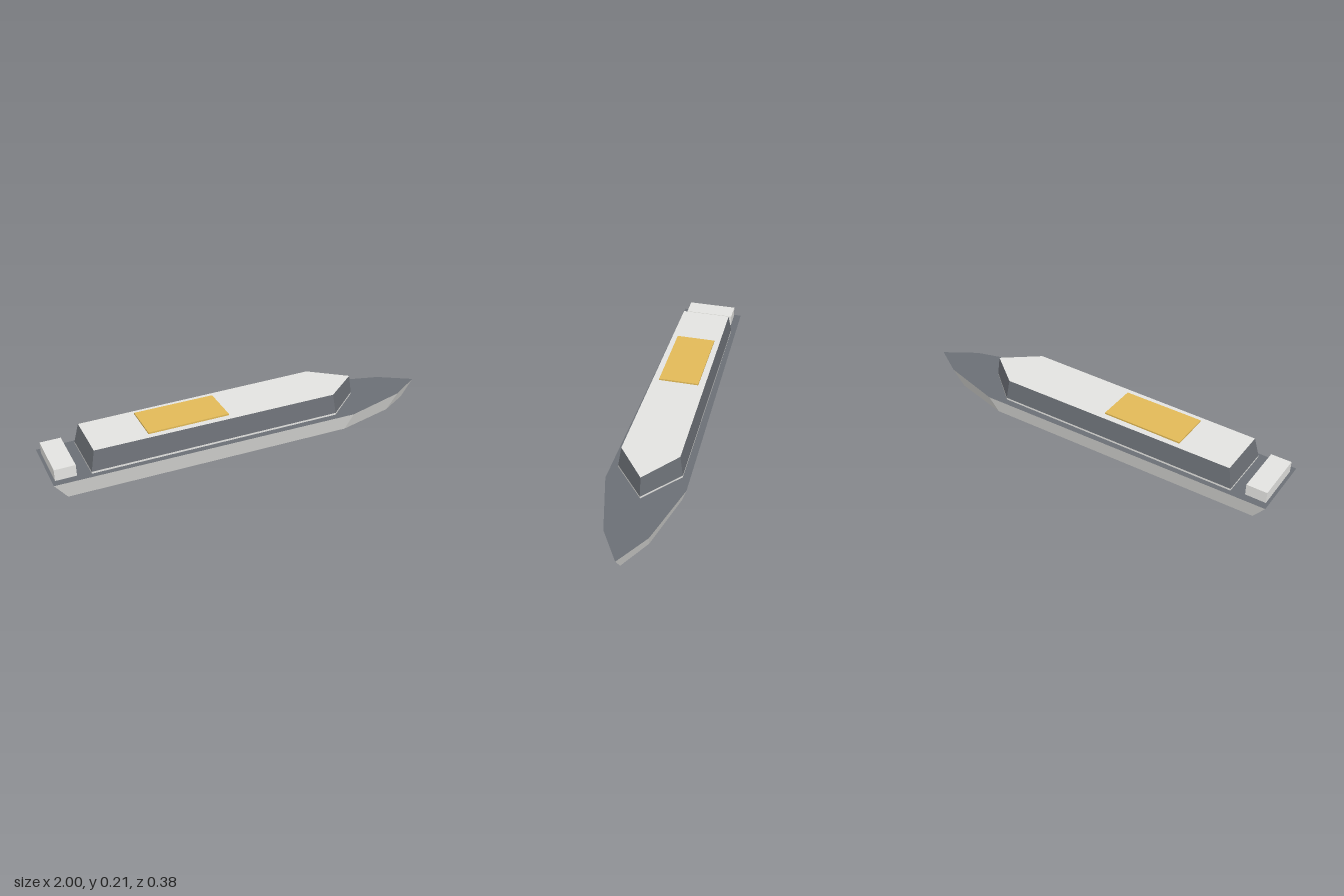
import * as THREE from 'three';

function material(name, color, side = THREE.FrontSide) {
  const m = new THREE.MeshStandardMaterial({ color, side });
  m.name = name;
  return m;
}

// Tapered shell, open below, from a half outline of [x, z] running stern to bow on +z.
// lowScale and highScale are [x, z]; material groups are 0 sides, 1 top.
function taperedShell(half, y0, y1, lowScale, highScale) {
  const mirrored = half.filter((p) => p[1] > 0).reverse().map(([x, z]) => [x, -z]);
  const outline = [...half, ...mirrored];
  const ring = (y, [sx, sz]) => outline.map(([x, z]) => new THREE.Vector3(x * sx, y, z * sz));
  const low = ring(y0, lowScale), high = ring(y1, highScale);
  const n = outline.length;
  const points = [], normals = [];
  const addFace = (corners, normal) => corners.forEach((p) => {
    points.push(...p.toArray());
    normals.push(...normal.toArray());
  });

  // Each side panel gets one flat normal from its diagonals
  for (let i = 0; i < n; i++) {
    const j = (i + 1) % n;
    const rising = high[j].clone().sub(low[i]);
    const falling = high[i].clone().sub(low[j]);
    const normal = rising.cross(falling).normalize();
    addFace([low[i], low[j], high[j], low[i], high[j], high[i]], normal);
  }
  const up = new THREE.Vector3(0, 1, 0);
  for (let i = 1; i < n - 1; i++) addFace([high[0], high[i], high[i + 1]], up);

  const geometry = new THREE.BufferGeometry();
  geometry.setAttribute('position', new THREE.Float32BufferAttribute(points, 3));
  geometry.setAttribute('normal', new THREE.Float32BufferAttribute(normals, 3));
  geometry.addGroup(0, n * 6, 0);
  geometry.addGroup(n * 6, (n - 2) * 3, 1);
  return geometry;
}

export function createModel() {
  const model = new THREE.Group();
  model.name = 'boat';
  const pale = material('paleGrey', 0xe5e5e2, THREE.DoubleSide);
  const slate = material('slateGrey', 0x6c7076, THREE.DoubleSide);
  const gold = material('gold', 0xe3bb58);

  const add = (name, geometry, mat) => {
    const mesh = new THREE.Mesh(geometry, mat);
    mesh.name = name;
    model.add(mesh);
    return mesh;
  };
  const addBox = (name, x0, x1, y0, y1, width, mat) =>
    add(name, new THREE.BoxGeometry(x1 - x0, y1 - y0, width), mat)
      .position.set((x0 + x1) / 2, (y0 + y1) / 2, 0);

  // Flared hull, hollow from below, closed by a slate deck
  const hullOutline = [[-1, 0.164], [0.52, 0.189], [0.84, 0.1], [1, 0]];
  add('hull', taperedShell(hullOutline, 0, 0.09, [0.938, 0.86], [1, 1]), [pale, slate]);

  // Long cabin on a low plinth, narrowing to a pointed front
  const cabinOutline = [[-0.82, 0.141], [0.435, 0.153], [0.615, 0]];
  add('cabinPlinth', taperedShell(cabinOutline, 0.09, 0.1, [1, 1], [1, 1]), pale);
  add('cabin', taperedShell(cabinOutline, 0.1, 0.199, [1, 1], [0.973, 0.9]), [slate, pale]);

  // Roof panel and stern locker
  addBox('roofPanel', -0.53, -0.126, 0.199, 0.207, 0.2, gold);
  addBox('sternLocker', -0.985, -0.885, 0.09, 0.147, 0.254, pale);

  return model;
}
